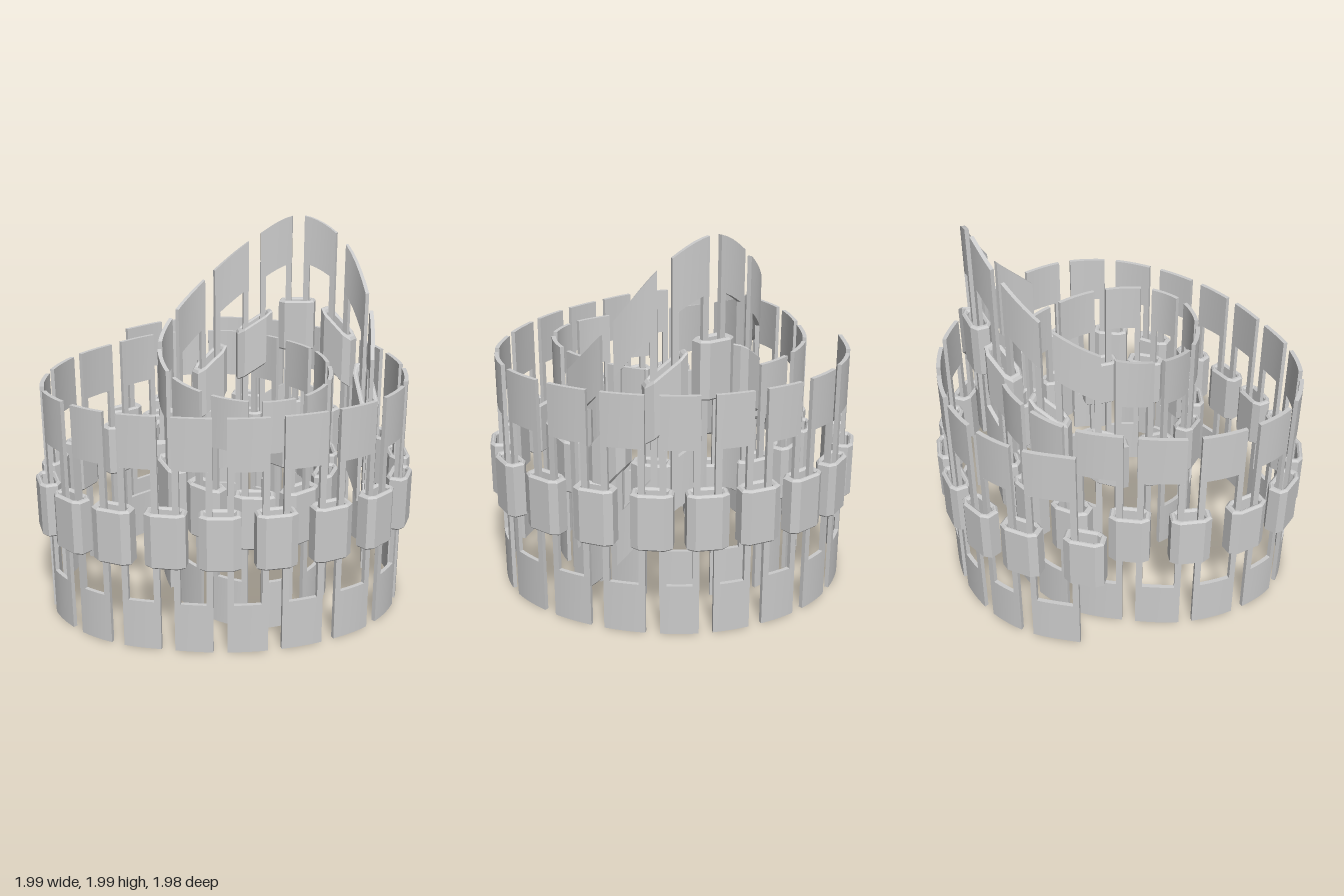
import * as THREE from 'three';
import { mergeGeometries } from 'three/addons/utils/BufferGeometryUtils.js';

// Spiral path through the link centres (x, z)
const PATH = [
  -0.915, -0.31, -0.78, -0.61, -0.59, -0.80, -0.35, -0.91, -0.085, -0.94,
  0.175, -0.905, 0.42, -0.80, 0.65, -0.63, 0.83, -0.41, 0.935, -0.135,
  0.905, 0.145, 0.76, 0.395, 0.555, 0.60, 0.32, 0.75, 0.07, 0.85,
  -0.19, 0.92, -0.45, 0.905, -0.685, 0.785, -0.82, 0.54, -0.86, 0.24,
  -0.795, -0.06, -0.675, -0.34, -0.475, -0.525, -0.22, -0.62, 0.035, -0.58,
  0.28, -0.47, 0.46, -0.26, 0.57, 0.02, 0.54, 0.295, 0.37, 0.465,
  0.105, 0.49, -0.16, 0.39, -0.355, 0.17, -0.425, -0.105, -0.355, -0.395,
  -0.165, -0.605, 0.065, -0.715, 0.325, -0.735, 0.56, -0.595, 0.69, -0.33,
];
// Lift of the last links, where the inner coil climbs and drops again
const LIFT = [0.01, 0.04, 0.11, 0.21, 0.38, 0.58, 0.71, 0.6, 0.28, -0.01];
const COUNT = PATH.length / 2;

const BASE = 0.01, TOP = 1.295, WINDOW_LOW = 0.285, WINDOW_HIGH = 1.02;
const THICK = 0.022, GAP = 0.036, LEG = 0.033;

function makeCurve() {
  const pts = [];
  for (let i = 0; i < COUNT; i++) {
    const lift = LIFT[i - (COUNT - LIFT.length)] ?? 0;
    pts.push(new THREE.Vector3(PATH[2 * i], lift, PATH[2 * i + 1]));
  }
  return new THREE.CatmullRomCurve3(pts);
}

// Sheared frame at a path position: x along the path, y upright, z sideways
function frameAt(curve, u) {
  const t = Math.min(Math.max(u / (COUNT - 1), 0), 1);
  const p = curve.getPoint(t);
  const d = curve.getTangent(t);
  const flat = Math.hypot(d.x, d.z);
  d.divideScalar(flat);
  return new THREE.Matrix4().makeBasis(
    d, new THREE.Vector3(0, 1, 0), new THREE.Vector3(-d.z, 0, d.x)
  ).setPosition(p);
}

// Box bounded by x0..x1 and y0..y1
function slab(x0, x1, y0, y1, segments) {
  return new THREE.BoxGeometry(x1 - x0, y1 - y0, THICK, segments, 1, 1)
    .translate((x0 + x1) / 2, (y0 + y1) / 2, 0);
}

// Upright window frame, bent along the path between link i and i + 1
function framePlate(curve, i) {
  const a = curve.points[i], b = curve.points[i + 1];
  const span = Math.hypot(b.x - a.x, b.z - a.z);
  const x0 = GAP, x1 = span - GAP;
  const geo = mergeGeometries([
    slab(x0, x1, BASE, WINDOW_LOW, 5),
    slab(x0, x1, WINDOW_HIGH, TOP, 5),
    slab(x0, x0 + LEG, WINDOW_LOW, WINDOW_HIGH, 1),
    slab(x1 - LEG, x1, WINDOW_LOW, WINDOW_HIGH, 1),
  ]);
  const pos = geo.attributes.position;
  const v = new THREE.Vector3();
  for (let k = 0; k < pos.count; k++) {
    v.fromBufferAttribute(pos, k);
    const m = frameAt(curve, i + v.x / span);
    v.setX(0).applyMatrix4(m);
    pos.setXYZ(k, v.x, v.y, v.z);
  }
  geo.computeVertexNormals();
  return geo;
}

// Elongated eight-sided outline
function outline(Type, length, width, endWidth, sideLength) {
  const quarter = [[length, endWidth], [sideLength, width]];
  const pts = [
    ...quarter,
    ...quarter.map(([x, y]) => [-x, y]).reverse(),
    ...quarter.map(([x, y]) => [-x, -y]),
    ...quarter.map(([x, y]) => [x, -y]).reverse(),
  ].map(([x, y]) => new THREE.Vector2(x, y));
  return new Type(pts);
}

// Hollow link that wraps the legs of two neighbouring frames
function linkGeometry() {
  const bevel = 0.01;
  const shape = outline(THREE.Shape, 0.095, 0.047, 0.026, 0.062);
  shape.holes.push(outline(THREE.Path, 0.082, 0.04, 0.026, 0.058));
  return new THREE.ExtrudeGeometry(shape, {
    depth: 0.3 - 2 * bevel, bevelEnabled: true, bevelSegments: 1,
    bevelSize: bevel, bevelThickness: bevel,
  }).rotateX(-Math.PI / 2).translate(0, 0.5 + bevel, 0);
}

export function createModel() {
  const model = new THREE.Group();
  model.name = 'coiledChain';
  const material = new THREE.MeshStandardMaterial({ color: 0xcccccc });
  const curve = makeCurve();
  const link = linkGeometry();

  const add = (name, geometry) => {
    const mesh = new THREE.Mesh(geometry, material);
    mesh.name = name;
    model.add(mesh);
  };

  // Alternate links and frames; the chain ends on a free frame
  for (let i = 0; i < COUNT - 1; i++) {
    add('connectorLink', link.clone().applyMatrix4(frameAt(curve, i)));
    add('windowFrame', framePlate(curve, i));
  }
  return model;
}
